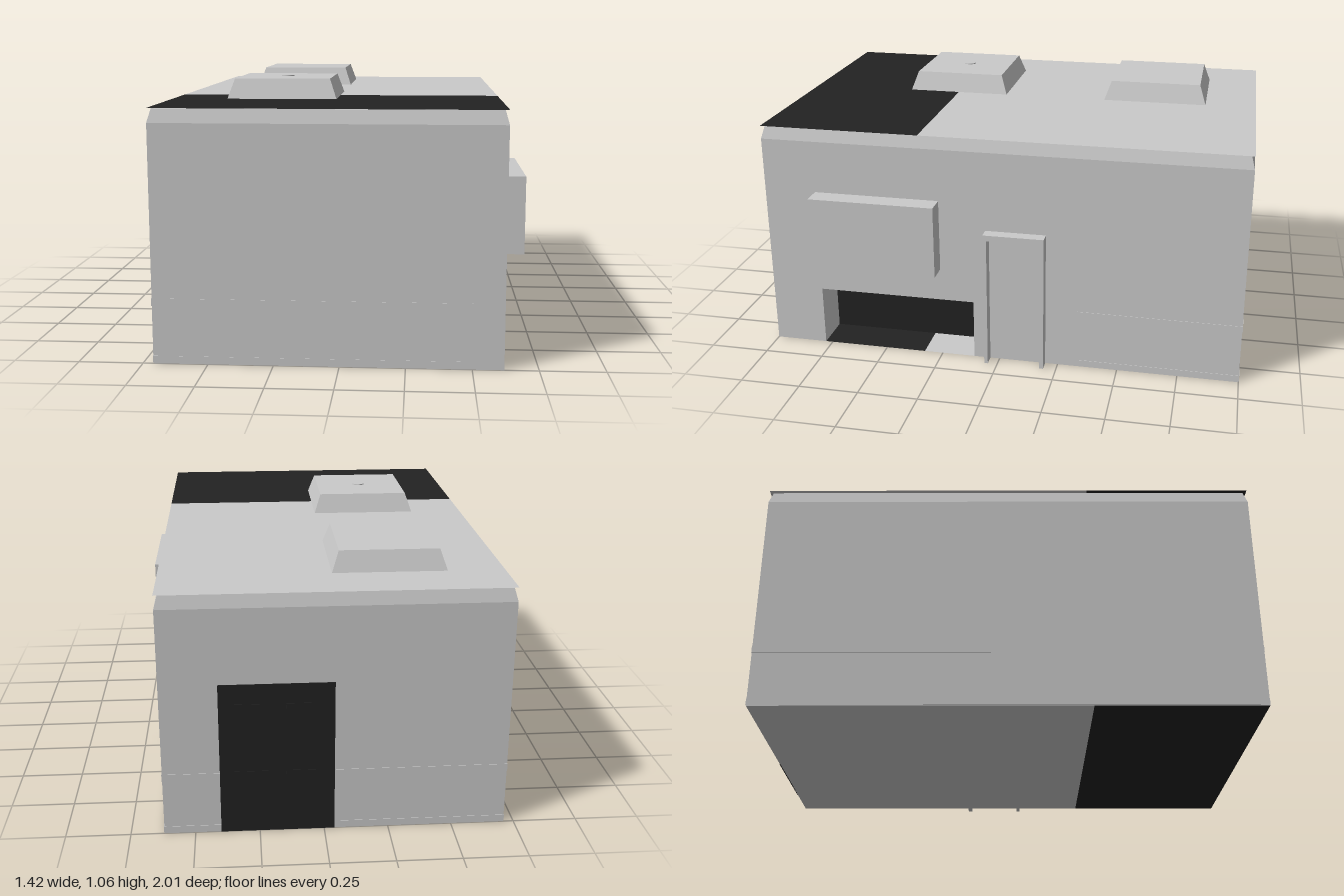
import * as THREE from 'three';

const X0 = -0.71, X1 = 0.62, CX = (X0 + X1) / 2, W = X1 - X0;
const SPLIT = 0.33; // z where roof and floor change colour

export function createModel() {
  const model = new THREE.Group();
  model.name = 'building';
  const grey = new THREE.MeshStandardMaterial({ color: 0xcacaca, side: THREE.DoubleSide });
  grey.name = 'plaster grey';
  const black = new THREE.MeshStandardMaterial({ color: 0x222222, side: THREE.DoubleSide });
  black.name = 'charcoal black';

  const add = (name, geo, mat, x = 0, y = 0, z = 0, parent = model) => {
    const mesh = new THREE.Mesh(geo, mat);
    mesh.name = name;
    mesh.position.set(x, y, z);
    parent.add(mesh);
    return mesh;
  };
  // Box given by its limits
  const box = (name, mat, x0, x1, y0, y1, z0, z1) =>
    add(name, new THREE.BoxGeometry(x1 - x0, y1 - y0, z1 - z0), mat, (x0 + x1) / 2, (y0 + y1) / 2, (z0 + z1) / 2);
  // Box whose upper face is pulled in on every side
  const frustum = (w, h, d, inset) => {
    const g = new THREE.BoxGeometry(w, h, d);
    const p = g.attributes.position;
    for (let i = 0; i < p.count; i++) {
      if (p.getY(i) > 0) {
        p.setX(i, p.getX(i) - Math.sign(p.getX(i)) * inset);
        p.setZ(i, p.getZ(i) - Math.sign(p.getZ(i)) * inset);
      }
    }
    const flat = g.toNonIndexed();
    flat.computeVertexNormals();
    return flat;
  };
  // Horizontal sheet
  const sheet = (name, mat, x0, x1, z0, z1, y, up) => {
    const g = new THREE.PlaneGeometry(x1 - x0, z1 - z0).rotateX(up ? -Math.PI / 2 : Math.PI / 2);
    return add(name, g, mat, (x0 + x1) / 2, y, (z0 + z1) / 2);
  };

  // Outer walls
  const H = 0.92;
  add('frontWall', new THREE.PlaneGeometry(W, H), grey, CX, H / 2, 1);
  add('backWall', new THREE.PlaneGeometry(W, H).rotateY(Math.PI), grey, CX, H / 2, -1);
  add('rightWall', new THREE.PlaneGeometry(2, H).rotateY(-Math.PI / 2), grey, X0, H / 2, 0);

  // Left wall with the hearth opening (shape x runs along -z)
  const wall = new THREE.Shape();
  [[-1, 0], [-0.78, 0], [-0.78, 0.255], [-0.11, 0.255], [-0.11, 0], [1, 0], [1, H], [-1, H]]
    .forEach(([a, b], i) => (i ? wall.lineTo(a, b) : wall.moveTo(a, b)));
  add('leftWall', new THREE.ShapeGeometry(wall).rotateY(Math.PI / 2), grey, X1, 0, 0);

  // Sloped band under the roof edge
  add('crownBand', frustum(W, 0.053, 2, 0.015), grey, CX, 0.9465, 0);

  // Roof and floor in two colours
  sheet('roofBack', grey, X0, X1, -1, SPLIT, 0.975, true);
  sheet('roofFront', black, X0, X1, SPLIT, 1, 0.975, true);
  sheet('floorBack', grey, X0, X1, -1, SPLIT, 0, false);
  sheet('floorFront', black, X0, X1, SPLIT, 1, 0, false);

  // Hearth recess
  const depth = 0.165, hx = X1 - depth / 2;
  add('hearthBack', new THREE.PlaneGeometry(0.67, 0.255).rotateY(Math.PI / 2), black, X1 - depth, 0.1275, 0.445);
  add('hearthSideFront', new THREE.PlaneGeometry(depth, 0.255).rotateY(Math.PI), grey, hx, 0.1275, 0.78);
  add('hearthSideBack', new THREE.PlaneGeometry(depth, 0.255), black, hx, 0.1275, 0.11);
  sheet('hearthTop', black, X1 - depth, X1, 0.11, 0.78, 0.255, false);

  // Box above the hearth
  box('chimneyBreast', grey, X1, 0.705, 0.395, 0.70, 0.25, 0.78);

  // Side doorway surround
  box('doorwayJambFront', grey, X1, 0.67, 0, 0.585, 0.04, 0.055);
  box('doorwayJambBack', grey, X1, 0.67, 0, 0.585, -0.197, -0.18);
  box('doorwayHeader', grey, X1, 0.67, 0.56, 0.585, -0.18, 0.04);

  // Back door with frame and four panels
  box('backDoor', black, -0.04, 0.40, 0, 0.62, -1.002, -0.998);
  for (const x of [0.08, 0.28]) {
    for (const [y0, y1] of [[0.08, 0.26], [0.34, 0.54]]) {
      box('backDoorPanel', black, x - 0.065, x + 0.065, y0, y1, -1.004, -1.002);
    }
  }

  // Skirting and rail strips
  const t = 0.002;
  for (const [name, y0, y1] of [['skirting', 0.005, 0.03], ['rail', 0.225, 0.255]]) {
    box(name + 'Front', grey, X0, 0.5, y0, y1, 1 - t, 1 + t / 2);
    box(name + 'Right', grey, X0 - t, X0 + t, y0, y1, -1, 1);
    box(name + 'BackA', grey, X0, -0.04, y0, y1, -1 - t, -1 + t);
    box(name + 'BackB', grey, 0.40, X1, y0, y1, -1 - t, -1 + t);
    box(name + 'Left', grey, X1 - t, X1 + t, y0, y1, -1, -0.33);
  }

  // Roof lights
  for (const z of [-0.56, 0.33]) {
    add('roofLight', frustum(0.445, 0.081, 0.445, 0.028), grey, -0.265, 0.975 + 0.0405, z);
  }
  add('roofLightCap', new THREE.CylinderGeometry(0.027, 0.027, 0.004, 16), grey, -0.265, 1.058, 0.33);

  return model;
}
